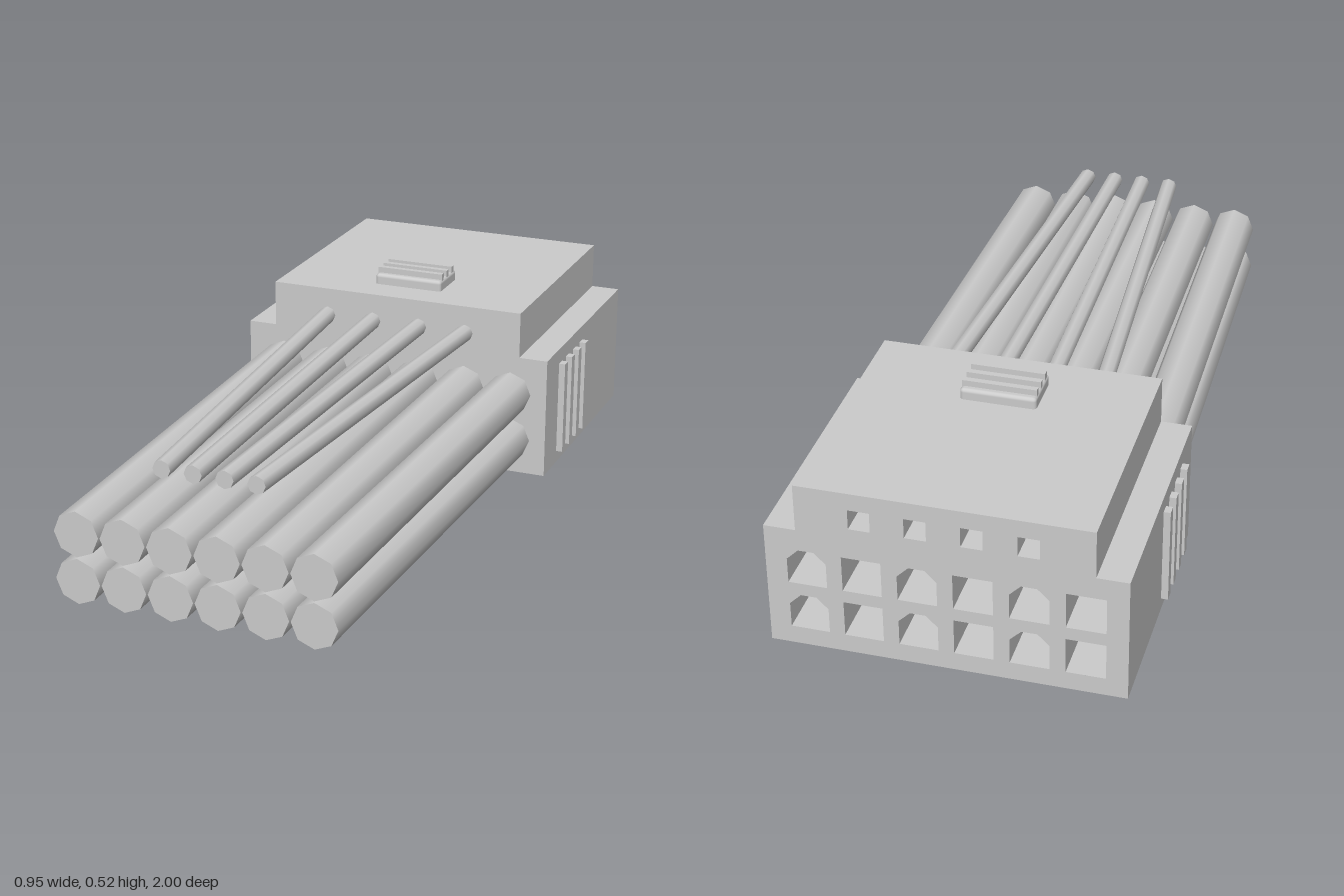
import * as THREE from 'three';
import { RoundedBoxGeometry } from 'three/addons/geometries/RoundedBoxGeometry.js';

const BACK = -1, FRONT = -0.305, FLOOR = -0.4;
const COLUMNS = [-2.5, -1.5, -0.5, 0.5, 1.5, 2.5];

export function createModel() {
  const model = new THREE.Group();
  const material = new THREE.MeshStandardMaterial({ color: 0xcccccc });

  const add = (name, geometry, x = 0, y = 0, z = 0) => {
    const mesh = new THREE.Mesh(geometry, material);
    mesh.name = name;
    mesh.position.set(x, y, z);
    model.add(mesh);
    return mesh;
  };

  // Stepped outline of the connector housing
  const outline = () => new THREE.Shape([
    [-0.455, 0], [0.455, 0], [0.455, 0.345], [0.373, 0.345],
    [0.373, 0.475], [-0.373, 0.475], [-0.373, 0.345], [-0.455, 0.345],
  ].map(([x, y]) => new THREE.Vector2(x, y)));

  // Square socket, optionally with its two top corners cut off
  const socket = (x, y, size, cut) => {
    const h = size / 2;
    const points = cut
      ? [[-h, -h], [-h, h - cut], [-h + cut, h], [h - cut, h], [h, h - cut], [h, -h]]
      : [[-h, -h], [-h, h], [h, h], [h, -h]];
    return new THREE.Path(points.map(([px, py]) => new THREE.Vector2(x + px, y + py)));
  };

  // Housing: open sockets at the back, solid wall where the cables enter
  const face = outline();
  COLUMNS.forEach((c, i) => {
    face.holes.push(socket(c * 0.14, 0.1, 0.1, i % 2 ? 0.03 : 0));
    face.holes.push(socket(c * 0.14, 0.235, 0.1, i % 2 ? 0.03 : 0));
  });
  for (const c of [-1.5, -0.5, 0.5, 1.5]) face.holes.push(socket(c * 0.14, 0.4, 0.055, 0));
  add('socketHousing', new THREE.ExtrudeGeometry(face, { depth: FLOOR - BACK, bevelEnabled: false }), 0, 0, BACK);
  add('cableEntryWall', new THREE.ExtrudeGeometry(outline(), { depth: FRONT - FLOOR, bevelEnabled: false }), 0, 0, FLOOR);

  // Grip ribs on both sides
  for (const side of [-1, 1])
    for (const z of [-0.43, -0.495, -0.56, -0.625])
      add('gripRib', new THREE.BoxGeometry(0.03, 0.267, 0.027), side * 0.458, 0.168, z);

  // Latch pad with three ridges
  add('latchPad', new RoundedBoxGeometry(0.2, 0.05, 0.13, 2, 0.01), 0, 0.48, -0.465);
  for (const z of [-0.425, -0.465, -0.505])
    add('latchRidge', new THREE.BoxGeometry(0.195, 0.025, 0.016), 0, 0.5085, z);

  // Cable: eight-sided prism whose ends stay parallel to the housing face
  const cable = (name, radius, from, to) => {
    const length = to.z - from.z;
    const geometry = new THREE.CylinderGeometry(radius, radius, length, 8).rotateX(Math.PI / 2);
    geometry.translate(0, 0, length / 2);
    const p = geometry.attributes.position;
    for (let i = 0; i < p.count; i++) {
      const t = p.getZ(i) / length;
      p.setX(i, p.getX(i) + (to.x - from.x) * t);
      p.setY(i, p.getY(i) + (to.y - from.y) * t);
    }
    add(name, geometry, from.x, from.y, from.z);
  };
  const point = (x, y, z) => new THREE.Vector3(x, y, z);

  // Two rows of thick power cables, drawn together toward the front
  for (const c of COLUMNS) {
    cable('upperCable', 0.061, point(c * 0.139, 0.237, FRONT - 0.01), point(c * 0.126, 0.232, 1));
    cable('lowerCable', 0.061, point(c * 0.139, 0.1, FRONT - 0.01), point(c * 0.126, 0.106, 1));
  }
  // Four thin signal wires
  for (const c of [-1.5, -0.5, 0.5, 1.5])
    cable('signalWire', 0.024, point(c * 0.14, 0.397, FRONT - 0.01), point(c * 0.084, 0.397, 0.905));

  return model;
}
